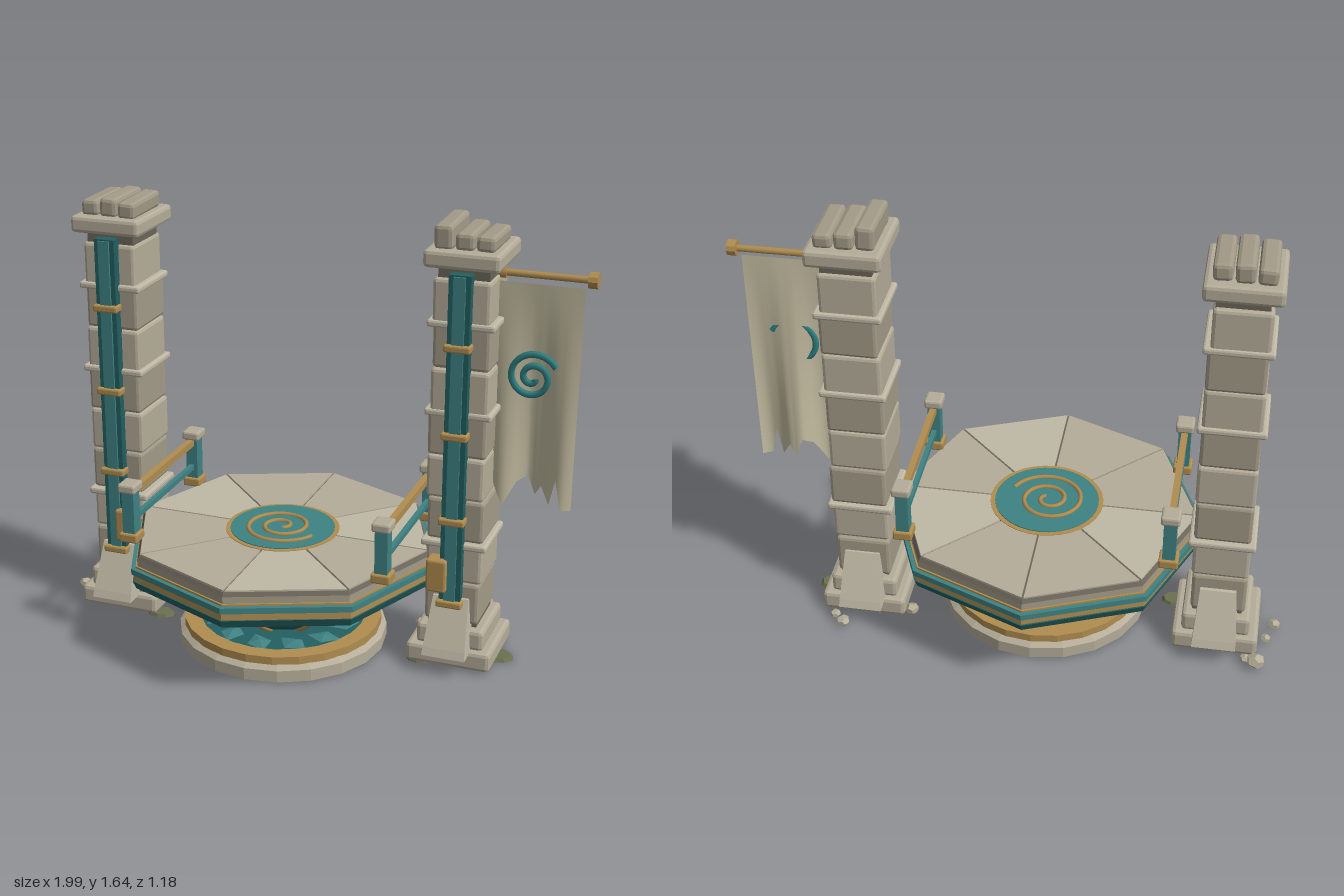
import * as THREE from 'three';
import { RoundedBoxGeometry } from 'three/addons/geometries/RoundedBoxGeometry.js';

const mat = (color, flat = true) => new THREE.MeshStandardMaterial({ color, flatShading: flat });
const M = {
  stone: mat(0xb5ad99), stoneDark: mat(0xa39b88), stoneLight: mat(0xbfb8a5), seam: mat(0x6b665a),
  teal: mat(0x3f8284), tealDark: mat(0x235f60), gold: mat(0xb08d50), goldSmooth: mat(0xb08d50, false),
  tealSmooth: mat(0x2f7f80, false), moss: mat(0x6c7050),
};
const clothMat = mat(0xc6bfa3, false);
clothMat.side = THREE.DoubleSide;

let seed = 7;
const rnd = () => (seed = (seed * 16807) % 2147483647) / 2147483647;
const jit = (a) => (rnd() - 0.5) * 2 * a;

function add(parent, name, geo, material, x = 0, y = 0, z = 0) {
  const m = new THREE.Mesh(geo, material);
  m.name = name;
  m.position.set(x, y, z);
  parent.add(m);
  return m;
}
// Chamfered box
const block = (w, h, d, c = 0.01) => new RoundedBoxGeometry(w, h, d, 1, c);
// Prism between two heights
const drum = (r0, r1, h, sides) => new THREE.CylinderGeometry(r1, r0, h, sides);

// Spiral tube in the XY plane, running inward from its outer end
function spiral(r, start, turns, thick) {
  const pts = [];
  for (let i = 0; i <= 48; i++) {
    const t = i / 48, a = start + t * turns * Math.PI * 2, q = r * (1 - 0.87 * t);
    pts.push(new THREE.Vector3(Math.cos(a) * q, Math.sin(a) * q, 0));
  }
  return new THREE.TubeGeometry(new THREE.CatmullRomCurve3(pts), 90, thick, 6);
}

function makePlatform() {
  const g = new THREE.Group();
  g.name = 'platform';
  // Round plinth
  add(g, 'plinth', drum(0.39, 0.39, 0.045, 20), M.stone, 0, 0.0325);
  add(g, 'plinthBevel', drum(0.39, 0.365, 0.018, 20), M.stone, 0, 0.064);
  const ring = new THREE.LatheGeometry([[0.31, 0.07], [0.37, 0.07], [0.37, 0.1], [0.31, 0.1], [0.31, 0.07]]
    .map(p => new THREE.Vector2(...p)), 24);
  add(g, 'plinthRing', ring, M.gold);
  add(g, 'plinthTop', drum(0.32, 0.32, 0.012, 24), M.tealDark, 0, 0.076);
  for (let i = 0; i < 12; i++) {
    const a = (i / 12) * Math.PI * 2;
    const leaf = add(g, 'plinthLeaf', new THREE.OctahedronGeometry(1), M.teal, Math.sin(a) * 0.24, 0.085, Math.cos(a) * 0.24);
    leaf.scale.set(0.045, 0.012, 0.065);
    leaf.rotation.y = a + 0.6;
  }
  // Faceted bowl with gold ribs along its corners
  const prof = [[0.13, 0.08], [0.2, 0.125], [0.285, 0.19], [0.375, 0.255], [0.49, 0.315]];
  add(g, 'bowl', new THREE.LatheGeometry(prof.map(p => new THREE.Vector2(...p)), 8), M.tealDark);
  for (let i = 0; i < 8; i++) {
    const a = (i * Math.PI) / 4;
    const path = new THREE.CatmullRomCurve3(prof.map(([r, y]) => new THREE.Vector3(Math.sin(a) * r, y, Math.cos(a) * r)));
    add(g, 'bowlRib', new THREE.TubeGeometry(path, 12, 0.011, 6), M.goldSmooth);
  }
  // Octagonal rim tiers: bottom y, top y, bottom radius, top radius, material
  [[0.31, 0.34, 0.575, 0.588, M.tealDark], [0.34, 0.368, 0.582, 0.582, M.gold], [0.368, 0.39, 0.592, 0.592, M.teal],
    [0.39, 0.397, 0.575, 0.575, M.gold], [0.397, 0.422, 0.568, 0.568, M.stoneDark], [0.422, 0.436, 0.568, 0.558, M.seam]]
    .forEach(([y0, y1, r0, r1, m]) => add(g, 'rimTier', drum(r0, r1, y1 - y0, 8), m, 0, (y0 + y1) / 2));
  // Eight floor slabs with gaps between them
  for (let i = 0; i < 8; i++) {
    const c = Math.cos(Math.PI / 8), s = Math.sin(Math.PI / 8), e = 0.004;
    const sh = new THREE.Shape([[0.18 * c, -0.18 * s + e], [0.556 * c, -0.556 * s + e], [0.556 * c, 0.556 * s - e], [0.18 * c, 0.18 * s - e]]
      .map(p => new THREE.Vector2(...p)));
    const slab = add(g, 'floorSlab', new THREE.ExtrudeGeometry(sh, { depth: 0.008, bevelEnabled: false })
      .rotateX(-Math.PI / 2), i % 3 ? M.stone : M.stoneLight, 0, 0.434, 0);
    slab.rotation.y = Math.PI / 8 + (i * Math.PI) / 4;
  }
  // Centre medallion
  add(g, 'medallionRim', drum(0.21, 0.21, 0.014, 32), M.gold, 0, 0.437);
  add(g, 'medallion', drum(0.193, 0.193, 0.016, 32), M.teal, 0, 0.439);
  add(g, 'medallionSpiral', spiral(0.145, 0.35, 2.1, 0.009).rotateX(Math.PI / 2), M.goldSmooth, -0.005, 0.448, 0);
  // Railings
  for (const x of [-0.48, 0.48]) {
    const rail = new THREE.Group();
    rail.name = 'railing';
    rail.position.x = x;
    for (const z of [-0.28, 0.28]) {
      add(rail, 'postFoot', block(0.07, 0.035, 0.07, 0.006), M.gold, 0, 0.453, z);
      add(rail, 'post', new THREE.BoxGeometry(0.046, 0.165, 0.05), M.teal, 0, 0.55, z);
      add(rail, 'postCap', block(0.068, 0.034, 0.075, 0.008), M.stone, 0, 0.646, z);
    }
    add(rail, 'topRail', new THREE.BoxGeometry(0.024, 0.026, 0.56), M.gold, 0, 0.618);
    add(rail, 'lowerRail', new THREE.BoxGeometry(0.018, 0.02, 0.56), M.teal, 0, 0.515);
    g.add(rail);
  }
  g.position.x = -0.1;
  return g;
}

// Pillar standing on its own origin; side is +1 or -1
function makePillar(side) {
  const g = new THREE.Group();
  g.name = side > 0 ? 'leftPillar' : 'rightPillar';
  add(g, 'foot', block(0.315, 0.075, 0.315, 0.015), M.stone, 0, 0.053);
  add(g, 'footStep', block(0.25, 0.08, 0.27, 0.015), M.stone, 0, 0.125);
  // Masonry blocks, with a band at some joints
  for (let i = 0; i < 8; i++) {
    const b = add(g, 'shaftBlock', block(0.205 + jit(0.006), 0.158, 0.235 + jit(0.006), 0.012),
      i % 2 ? M.stone : M.stoneDark, jit(0.004), 0.26 + i * 0.16, jit(0.003));
    b.rotation.y = jit(0.012);
  }
  add(g, 'core', new THREE.BoxGeometry(0.18, 1.4, 0.2), M.seam, 0, 0.8);
  for (const y of [0.485, 0.98, 1.3]) add(g, 'band', block(0.24, 0.026, 0.255, 0.008), M.stoneLight, 0, y);
  add(g, 'capital', block(0.268, 0.062, 0.295, 0.014), M.stone, 0, 1.53);
  // Broken stones on top
  for (let i = 0; i < 3; i++) {
    const h = (side > 0 ? [0.088, 0.062, 0.055] : [0.06, 0.07, 0.062])[i];
    const s = add(g, 'topStone', block(0.066, h, 0.225, 0.014), M.stoneDark, (i - 1) * 0.073, 1.556 + h / 2, jit(0.004));
    s.rotation.set(jit(0.03), 0, (i - 1) * -0.08 + jit(0.06));
  }
  // Sloped buttresses front and back
  const tri = new THREE.Shape([[0.1, 0.08], [0.215, 0.08], [0.205, 0.11], [0.13, 0.285], [0.1, 0.285]].map(p => new THREE.Vector2(...p)));
  const wedge = new THREE.ExtrudeGeometry(tri, { depth: 0.16, bevelEnabled: false });
  wedge.translate(0, 0, -0.08).rotateY(-Math.PI / 2);
  const p = wedge.attributes.position;
  for (let i = 0; i < p.count; i++) p.setX(i, p.getX(i) * (1 - 0.9 * (p.getY(i) - 0.08)));
  for (const r of [0, Math.PI]) add(g, 'buttress', wedge, M.stoneLight).rotation.y = r;
  // Guide rail on the front
  add(g, 'guideRail', new THREE.BoxGeometry(0.078, 1.21, 0.04), M.tealDark, 0, 0.88, 0.13);
  add(g, 'guideRailFace', new THREE.BoxGeometry(0.042, 1.2, 0.012), M.teal, 0, 0.88, 0.152);
  for (const y of [0.27, 0.59, 0.91, 1.23]) add(g, 'railClamp', block(0.095, 0.026, 0.05, 0.006), M.gold, 0, y, 0.143);
  // Bracket that holds the platform
  add(g, 'platformBracket', block(0.075, 0.125, 0.09, 0.008), M.gold, -side * 0.047, 0.38, 0.132);
  g.position.set(side > 0 ? 0.558 : -0.762, 0, -0.098);
  return g;
}

function makeBanner() {
  const g = new THREE.Group();
  g.name = 'banner';
  add(g, 'bannerPole', new THREE.CylinderGeometry(0.012, 0.012, 0.38, 10).rotateZ(Math.PI / 2), M.goldSmooth, 0.79, 1.47, -0.1);
  add(g, 'poleCollar', new THREE.CylinderGeometry(0.02, 0.02, 0.02, 10).rotateZ(Math.PI / 2), M.goldSmooth, 0.67, 1.47, -0.1);
  add(g, 'poleEnd', new THREE.CylinderGeometry(0.028, 0.028, 0.032, 10).rotateZ(Math.PI / 2), M.gold, 0.977, 1.47, -0.1);
  // Waving cloth with a torn lower edge: u across, height of the tear
  const tear = [[0, 0.7], [0.14, 0.61], [0.3, 0.7], [0.42, 0.72], [0.52, 0.65], [0.6, 0.69], [0.72, 0.63], [0.8, 0.73], [0.88, 0.62], [1, 0.62]];
  const edge = (u) => {
    const i = Math.max(1, tear.findIndex(t => t[0] >= u - 1e-6));
    const [a, b] = [tear[i - 1], tear[i]];
    return THREE.MathUtils.mapLinear(u, a[0], b[0], a[1], b[1]);
  };
  const cloth = new THREE.PlaneGeometry(1, 1, 50, 16);
  const p = cloth.attributes.position;
  for (let i = 0; i < p.count; i++) {
    const u = p.getX(i) + 0.5, v = 0.5 - p.getY(i);
    const z = -0.093 - 0.037 * v + 0.024 * v * Math.sin(u * 8.5 + 0.6);
    p.setXYZ(i, 0.655 + u * (0.297 - 0.012 * v), THREE.MathUtils.lerp(1.44, edge(u), v), z);
  }
  cloth.computeVertexNormals();
  add(g, 'cloth', cloth, clothMat);
  add(g, 'clothSpiral', spiral(0.092, 0.5, 1.9, 0.012), M.tealSmooth, 0.785, 1.105, -0.1).rotation.x = 0.04;
  return g;
}

export function createModel() {
  const model = new THREE.Group();
  model.name = 'liftPlatform';
  model.add(makePlatform(), makePillar(1), makePillar(-1), makeBanner());
  // Fallen stones: x, z, size
  [[-0.92, -0.3, 0.035], [-0.95, -0.16, 0.02], [-0.978, -0.08, 0.024], [0.62, -0.33, 0.026], [0.38, -0.22, 0.026],
    [0.66, -0.29, 0.02], [-0.88, -0.28, 0.02]].forEach(([x, z, s]) => {
    const r = add(model, 'fallenStone', new THREE.DodecahedronGeometry(s), M.stone, x, s * 0.75 + 0.01, z);
    r.scale.y = 0.75;
    r.rotation.y = x * 9;
  });
  // Moss patches on the ground: x, z, radius
  [[0.7, -0.1, 0.07], [-0.6, 0.02, 0.055], [0.44, 0.02, 0.045]].forEach(([x, z, r]) => {
    add(model, 'moss', drum(r, r * 0.85, 0.012, 9), M.moss, x, 0.012, z).scale.z = 0.7;
  });
  return model;
}
